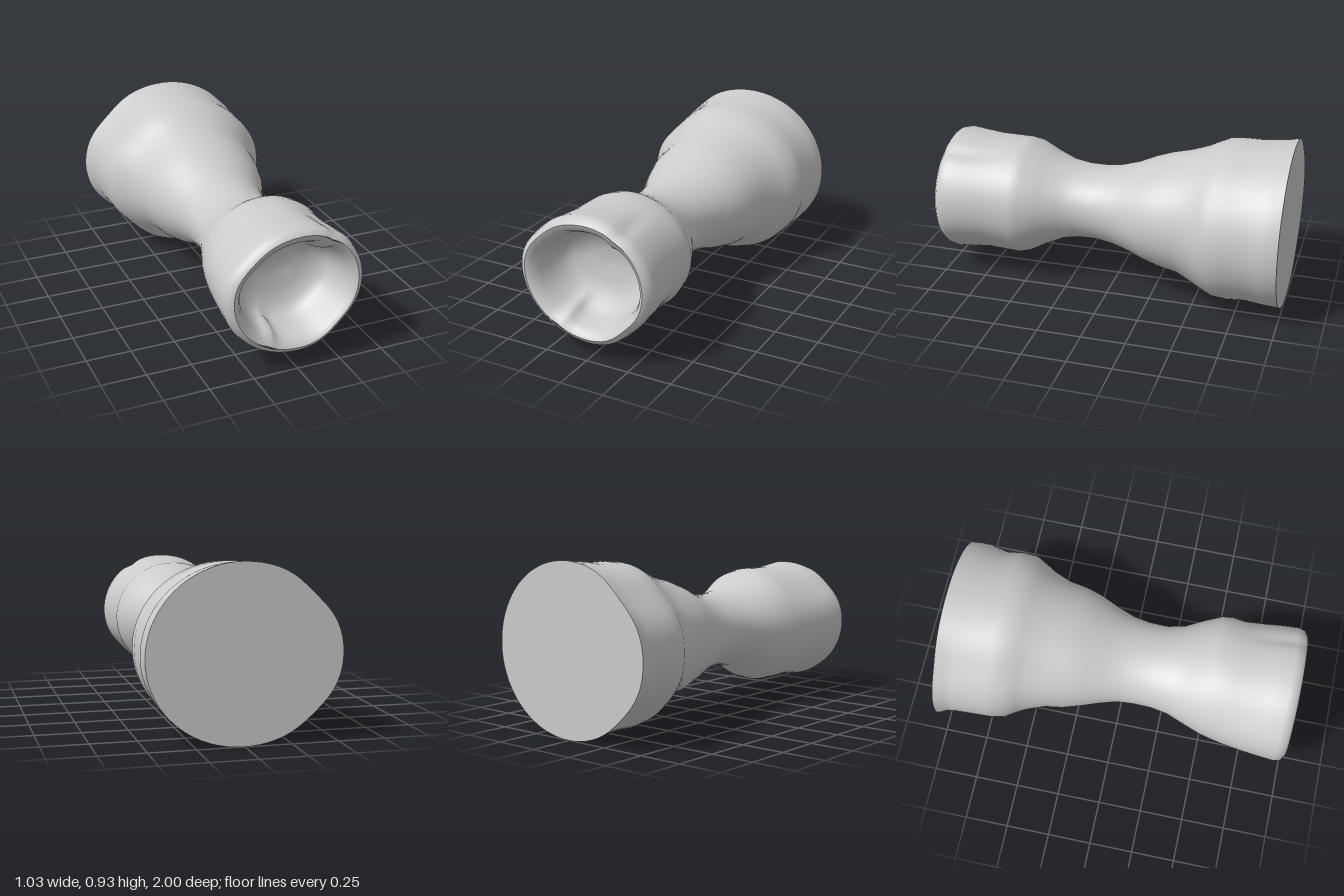
import * as THREE from 'three';

const SEG = 72;
const CX = 0.01, CY = 0.46;

// Each section: z, left-most x, right-most x, lowest y, highest y
const BODY = [
  [-1, -0.52, 0.51, 0, 0.935], [-0.95, -0.495, 0.515, 0.005, 0.93],
  [-0.9, -0.488, 0.515, 0.01, 0.925], [-0.8, -0.485, 0.49, 0.015, 0.912],
  [-0.7, -0.48, 0.505, 0.01, 0.912], [-0.62, -0.465, 0.5, 0.018, 0.905],
  [-0.55, -0.42, 0.46, 0.045, 0.875], [-0.5, -0.395, 0.43, 0.07, 0.85],
  [-0.4, -0.36, 0.39, 0.12, 0.815], [-0.3, -0.345, 0.375, 0.14, 0.79],
  [-0.2, -0.315, 0.345, 0.17, 0.755], [-0.1, -0.28, 0.3, 0.205, 0.71],
  [0, -0.25, 0.262, 0.23, 0.68], [0.1, -0.243, 0.245, 0.245, 0.667],
  [0.2, -0.245, 0.242, 0.242, 0.667], [0.3, -0.262, 0.262, 0.225, 0.682],
  [0.4, -0.3, 0.315, 0.18, 0.722], [0.5, -0.335, 0.358, 0.125, 0.777],
  [0.56, -0.35, 0.366, 0.105, 0.788], [0.64, -0.367, 0.355, 0.104, 0.786],
  [0.75, -0.385, 0.364, 0.11, 0.785], [0.85, -0.396, 0.375, 0.1, 0.795],
  [0.94, -0.404, 0.38, 0.09, 0.806], [0.98, -0.395, 0.37, 0.097, 0.797],
  [1, -0.365, 0.34, 0.125, 0.77],
];
const CUP = [
  [1, -0.365, 0.34, 0.125, 0.77], [0.985, -0.335, 0.32, 0.15, 0.735],
  [0.94, -0.31, 0.3, 0.17, 0.71], [0.87, -0.29, 0.285, 0.19, 0.685],
  [0.8, -0.26, 0.26, 0.215, 0.65], [0.76, -0.215, 0.22, 0.26, 0.61],
  [0.74, -0.13, 0.13, 0.34, 0.54], [0.735, CX, CX, CY, CY],
];
const BASE = [[-1, CX, CX, CY, CY], BODY[0]];

const bump = (v, centre, width) => Math.exp(-(((v - centre) / width) ** 2));

// Radial scale for the slightly squashed outline and worn dents
function wear(a, z) {
  const back = THREE.MathUtils.smoothstep(-z, 0.2, 0.6);
  const front = THREE.MathUtils.smoothstep(z, 0.4, 0.8);
  return 1
    - back * (0.045 * bump(a, 2.4, 0.3) + 0.03 * bump(a, 3.9, 0.3))
    - front * (0.05 * bump(a, 5.5, 0.35) + 0.03 * bump(a, 2.4, 0.3))
    - 0.05 * bump(a, 1.03, 0.11) * bump(z, 0.88, 0.13);
}

// Skins a run of sections, with outward faces for increasing z
function loft(name, sections, material, notch = 0) {
  const position = [], index = [];
  sections.forEach(([z, left, right, low, high], i) => {
    for (let j = 0; j < SEG; j++) {
      const a = (j / SEG) * Math.PI * 2;
      const c = Math.cos(a), s = Math.sin(a);
      const inside = notch * (bump(a, 4.2, 0.1) * 0.13 + bump(a, 1.03, 0.13) * 0.08) * bump(z, 0.9, 0.07);
      const k = wear(a, z) - inside;
      position.push(
        CX + c * k * (c > 0 ? right - CX : CX - left),
        CY + s * k * (s > 0 ? high - CY : CY - low),
        z);
      if (i === sections.length - 1) continue;
      const p = i * SEG + j, q = i * SEG + ((j + 1) % SEG);
      index.push(p, q, p + SEG, q, q + SEG, p + SEG);
    }
  });
  const geometry = new THREE.BufferGeometry();
  geometry.setAttribute('position', new THREE.Float32BufferAttribute(position, 3));
  geometry.setIndex(index);
  geometry.computeVertexNormals();
  const mesh = new THREE.Mesh(geometry, material);
  mesh.name = name;
  return mesh;
}

export function createModel() {
  const model = new THREE.Group();
  model.name = 'waistedPiece';
  const material = new THREE.MeshStandardMaterial({ color: 0xcccccc });
  model.add(
    loft('body', BODY, material),       // waisted outer skin
    loft('hollowCup', CUP, material, 1), // recess in the front end
    loft('flatBase', BASE, material),   // flat back end
  );
  return model;
}
